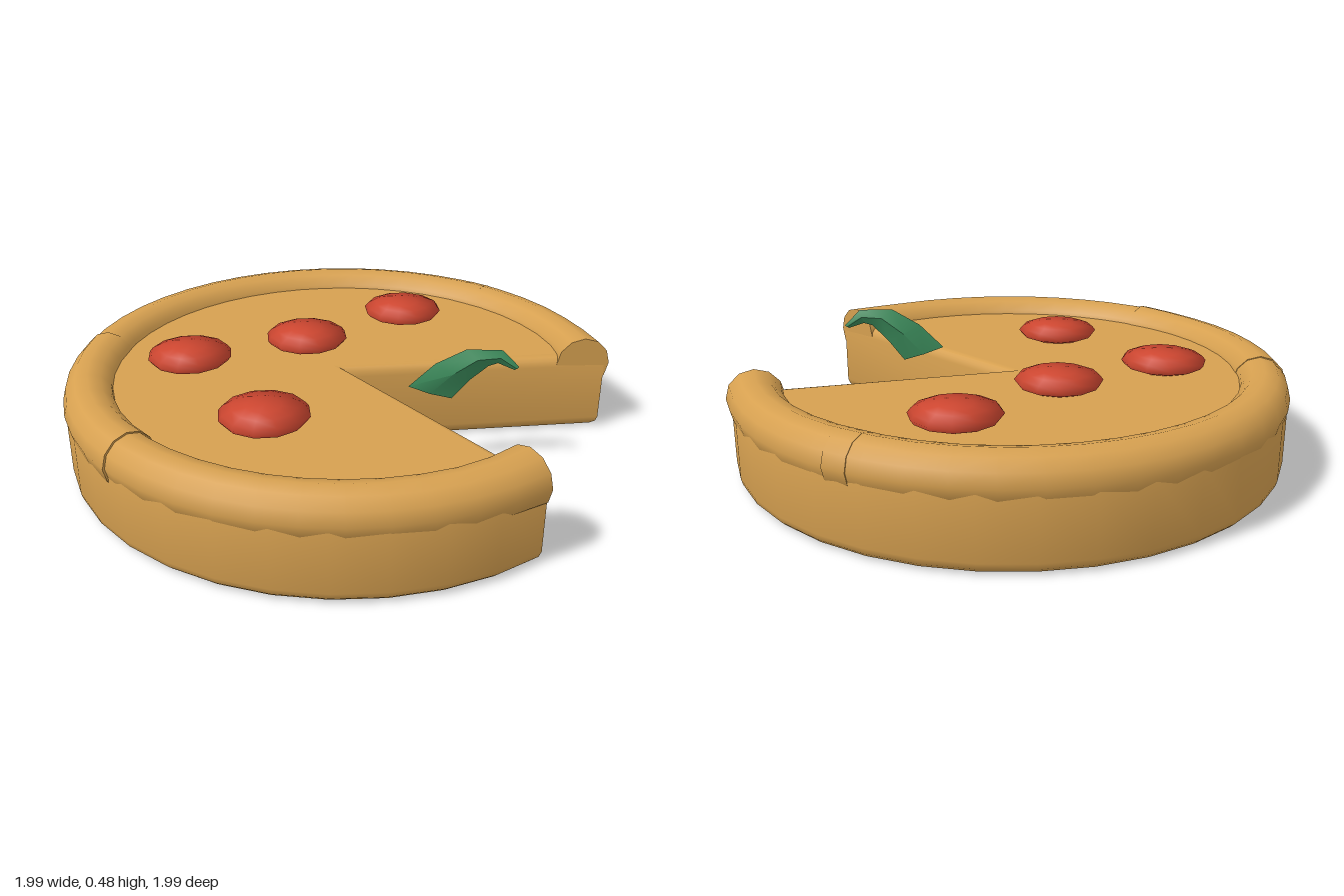
import * as THREE from 'three';
import { toCreasedNormals } from 'three/addons/utils/BufferGeometryUtils.js';

const dough = new THREE.MeshStandardMaterial({ name: 'dough', color: 0xd6a050 });
const sausage = new THREE.MeshStandardMaterial({ name: 'sausageRed', color: 0xcc4630 });
const green = new THREE.MeshStandardMaterial({ name: 'leafGreen', color: 0x3c8c5c });

const rad = THREE.MathUtils.degToRad;
const CUT_START = 73, CUT_END = 375; // angles measured from +x towards +z
const CRUST_R = 0.907, TUBE_R = 0.09, CRUST_Y = 0.27;

function add(parent, name, geometry, material) {
  const mesh = new THREE.Mesh(geometry, material);
  mesh.name = name;
  parent.add(mesh);
  return mesh;
}

// Thick disc with a slice removed and rounded edges
function baseGeometry() {
  const shape = new THREE.Shape();
  shape.moveTo(0.01, 0.01);
  for (let i = 0; i <= 30; i++) {
    const a = rad(CUT_START + (CUT_END - CUT_START) * i / 30);
    shape.lineTo(0.99 * Math.cos(a), 0.99 * Math.sin(a));
  }
  shape.closePath();
  let geo = new THREE.ExtrudeGeometry(shape, {
    depth: 0.22, bevelSize: 0.04, bevelThickness: 0.04, bevelOffset: -0.04, bevelSegments: 3,
  });
  geo.rotateX(Math.PI / 2).translate(0, 0.26, 0);
  geo = toCreasedNormals(geo, 0.7);
  // keep the top and bottom faces flat
  const lid = geo.groups[0], n = geo.attributes.normal;
  for (let i = lid.start; i < lid.start + lid.count; i++) n.setXYZ(i, 0, Math.sign(n.getY(i)), 0);
  geo.clearGroups();
  return geo;
}

// Rolled rim from one angle to another, swelling a little at both ends
function crustPiece(from, to, swellStart, swellEnd) {
  const piece = new THREE.Group();
  const arc = rad(to - from);
  const geo = new THREE.TorusGeometry(CRUST_R, TUBE_R, 12, Math.ceil((to - from) / 8), arc);
  const p = geo.attributes.position;
  for (let i = 0; i < p.count; i++) {
    const a = (Math.atan2(p.getY(i), p.getX(i)) + Math.PI * 2) % (Math.PI * 2);
    const t = a > 6.2 ? 0 : a;
    const f = 1 + swellStart * Math.max(0, 1 - t / 0.2) + swellEnd * Math.max(0, 1 - (arc - t) / 0.2);
    const r = CRUST_R + (Math.hypot(p.getX(i), p.getY(i)) - CRUST_R) * f;
    p.setXYZ(i, r * Math.cos(t), r * Math.sin(t), p.getZ(i) * f);
  }
  geo.rotateX(Math.PI / 2).rotateY(-rad(from));
  add(piece, 'crustRoll', geo, dough);
  // end caps
  for (const [angle, swell, facing] of [[from, swellStart, 0], [to, swellEnd, Math.PI]]) {
    const cap = new THREE.CircleGeometry(TUBE_R * (1 + swell), 12);
    cap.rotateY(Math.PI + facing).translate(CRUST_R, 0, 0).rotateY(-rad(angle));
    add(piece, 'crustEnd', cap, dough);
  }
  piece.position.y = CRUST_Y;
  return piece;
}

// Flattened round slice that keeps its full, round shading
function sliceGeometry() {
  const geo = new THREE.SphereGeometry(0.155, 12, 8);
  const p = geo.attributes.position;
  for (let i = 0; i < p.count; i++) p.setY(i, THREE.MathUtils.clamp(p.getY(i) * 0.26, -0.032, 0.032));
  return geo;
}

// Curled leaf: diamond cross-sections between an upper and a lower edge
function leafGeometry() {
  const sections = [
    [0.13, 0.33, 0.29, 0.27, 0.285, 0.345, 0.012],
    [0.21, 0.42, 0.33, 0.32, 0.36, 0.375, 0.025],
    [0.30, 0.48, 0.38, 0.37, 0.42, 0.41, 0.022],
    [0.41, 0.48, 0.43, 0.40, 0.43, 0.42, 0.014],
    [0.463, 0.42, 0.455, 0.447, 0.41, 0.45, 0.004],
  ];
  const side = new THREE.Vector3(-0.45, 0, 0.9).normalize();
  const pos = [], idx = [];
  for (const [ax, ay, az, bx, by, bz, w] of sections) {
    const a = new THREE.Vector3(ax, ay, az), b = new THREE.Vector3(bx, by, bz);
    const mid = a.clone().lerp(b, 0.5);
    const front = mid.clone().addScaledVector(side, w), back = mid.clone().addScaledVector(side, -w);
    for (const v of [a, front, b, back]) pos.push(v.x, v.y, v.z);
  }
  for (let s = 0; s < sections.length - 1; s++) {
    for (let k = 0; k < 4; k++) {
      const p = s * 4 + k, q = s * 4 + (k + 1) % 4;
      idx.push(p, q, q + 4, p, q + 4, p + 4);
    }
  }
  const e = (sections.length - 1) * 4;
  idx.push(0, 2, 1, 0, 3, 2, e, e + 1, e + 2, e, e + 2, e + 3);
  const geo = new THREE.BufferGeometry();
  geo.setAttribute('position', new THREE.Float32BufferAttribute(pos, 3));
  geo.setIndex(idx);
  return toCreasedNormals(geo, 0.6);
}

export function createModel() {
  const pizza = new THREE.Group();
  pizza.name = 'pizza';
  add(pizza, 'base', baseGeometry(), dough);

  // Rim in four overlapping pieces
  const crust = new THREE.Group();
  crust.name = 'crust';
  const pieces = [[73, 163, 0.12, 0], [158, 212, 0.06, 0.04], [208, 332, 0, 0.02], [327, 375, 0.02, 0.12]];
  for (const piece of pieces) crust.add(crustPiece(...piece));
  pizza.add(crust);

  // Toppings
  const slice = sliceGeometry();
  for (const [x, z] of [[-0.51, -0.25], [-0.05, -0.26], [0.41, -0.39], [-0.39, 0.30]]) {
    add(pizza, 'sausageSlice', slice, sausage).position.set(x, 0.328, z);
  }
  add(pizza, 'leaf', leafGeometry(), green);
  return pizza;
}
